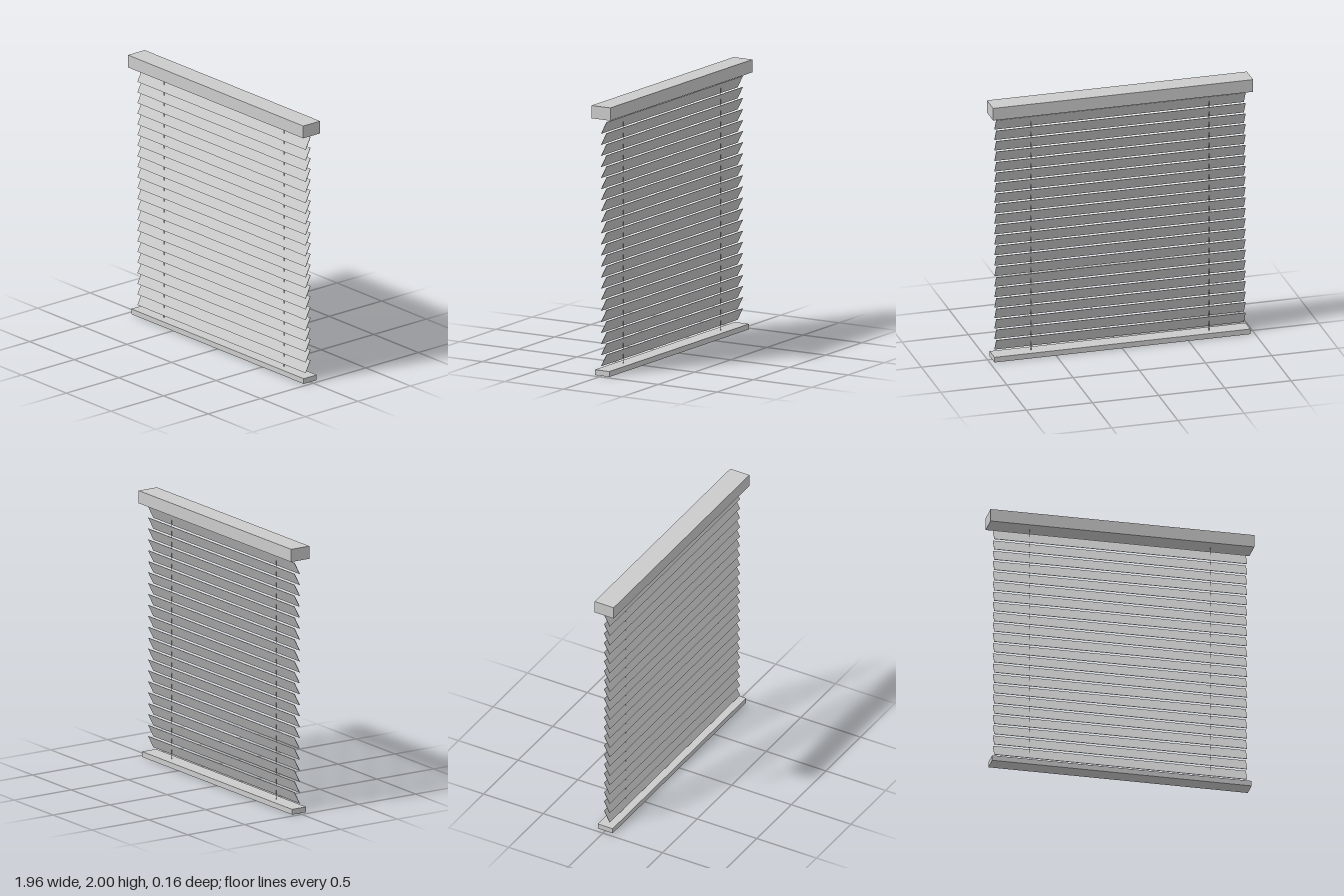
import * as THREE from 'three';

export function createModel() {
  const model = new THREE.Group();
  model.name = 'windowBlind';
  const material = new THREE.MeshStandardMaterial({ color: 0xcccccc });

  const add = (name, geometry, x, y, z = 0, parent = model) => {
    const mesh = new THREE.Mesh(geometry, material);
    mesh.name = name;
    mesh.position.set(x, y, z);
    parent.add(mesh);
    return mesh;
  };

  // Head rail and bottom rail
  add('headRail', new THREE.BoxGeometry(1.964, 0.095, 0.16), 0, 1.9525);
  add('bottomRail', new THREE.BoxGeometry(1.932, 0.04, 0.124), 0, 0.02);

  // Tilted slats, front edge down
  const slats = new THREE.Group();
  slats.name = 'slats';
  model.add(slats);
  const slatGeometry = new THREE.BoxGeometry(1.884, 0.003, 0.1);
  const count = 22, lowest = 0.111, highest = 1.835;
  for (let i = 0; i < count; i++) {
    const y = lowest + (highest - lowest) * i / (count - 1);
    add(`slat${i + 1}`, slatGeometry, 0, y, 0, slats).rotation.x = THREE.MathUtils.degToRad(63);
  }

  // Ladder cords running between the rails
  const cordGeometry = new THREE.CylinderGeometry(0.003, 0.003, 1.87, 6);
  add('leftCord', cordGeometry, 0.672, 0.973);
  add('rightCord', cordGeometry, -0.672, 0.973);

  return model;
}
